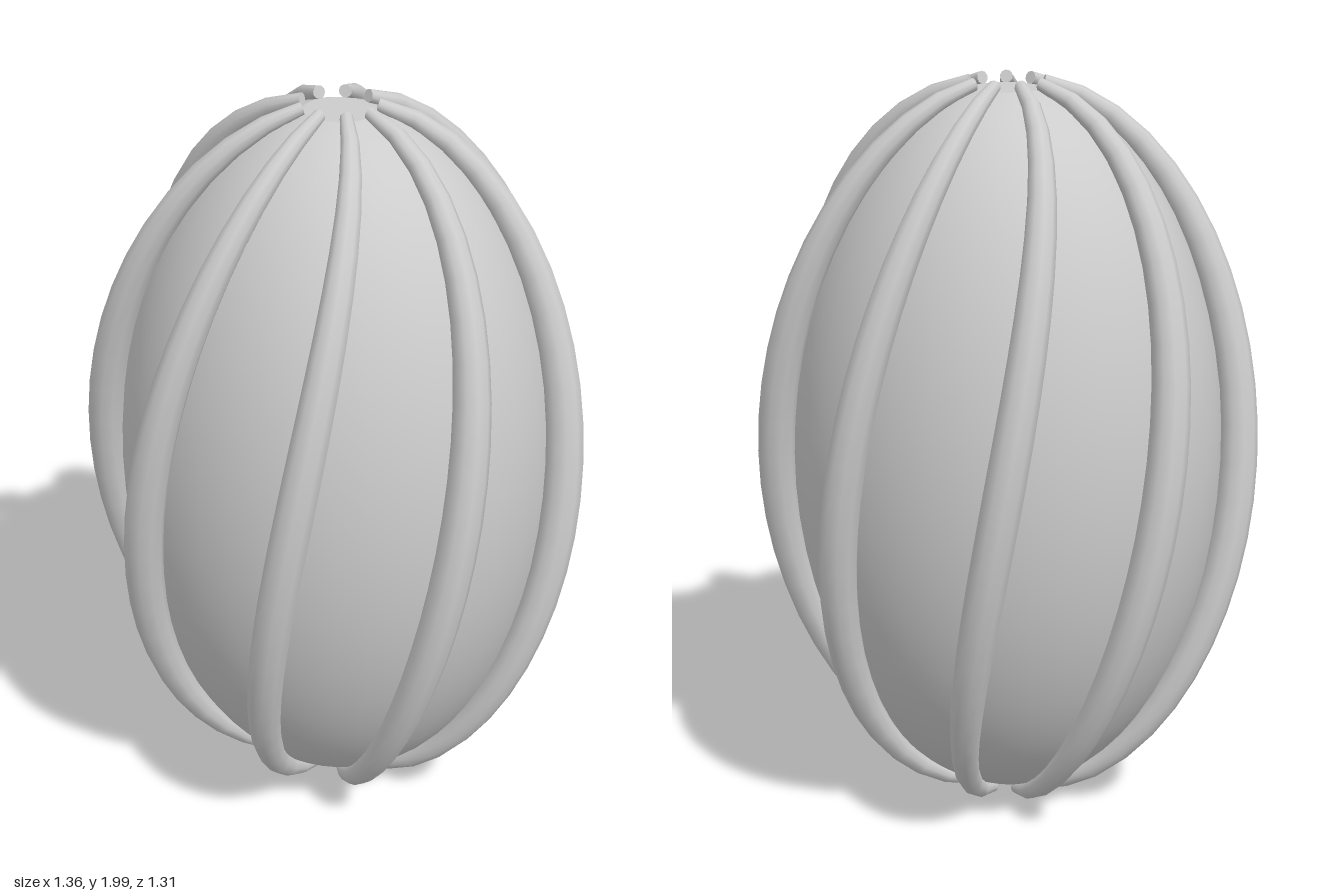
import * as THREE from 'three';

const RIBS = 9, RINGS = 24, SIDES = 10;
const rad = THREE.MathUtils.degToRad;

// Path hugging an ellipsoid from the top pole to the bottom one while twisting
class RibCurve extends THREE.Curve {
  constructor(start) {
    super();
    this.start = start;
  }
  getPoint(t, target = new THREE.Vector3()) {
    const polar = rad(9 + 162 * t);
    const turn = this.start + rad(46) * t;
    return target.set(
      0.64 * Math.sin(polar) * Math.cos(turn),
      1 + 0.99 * Math.cos(polar),
      0.615 * Math.sin(polar) * Math.sin(turn)
    );
  }
}

const ribRadius = (t) => 0.017 + 0.034 * Math.pow(Math.sin(Math.PI * t), 0.8);

// Flat disc facing along a direction
function disc(name, radius, center, direction, sides, material) {
  const mesh = new THREE.Mesh(new THREE.CircleGeometry(radius, sides), material);
  mesh.name = name;
  mesh.position.copy(center);
  mesh.quaternion.setFromUnitVectors(new THREE.Vector3(0, 0, 1), direction);
  return mesh;
}

// Tube whose thickness tapers toward both ends, closed by discs
function makeRib(start, material) {
  const rib = new THREE.Group();
  rib.name = 'rib';
  const curve = new RibCurve(start);
  const geometry = new THREE.TubeGeometry(curve, RINGS, 1, SIDES, false);
  const pos = geometry.attributes.position, nor = geometry.attributes.normal;
  const p = new THREE.Vector3(), n = new THREE.Vector3();
  for (let i = 0; i <= RINGS; i++) {
    const t = i / RINGS;
    curve.getPointAt(t, p);
    for (let j = 0; j <= SIDES; j++) {
      const k = i * (SIDES + 1) + j;
      n.fromBufferAttribute(nor, k).multiplyScalar(ribRadius(t)).add(p);
      pos.setXYZ(k, n.x, n.y, n.z);
    }
  }
  const tube = new THREE.Mesh(geometry, material);
  tube.name = 'ribTube';
  rib.add(tube);
  for (const t of [0, 1]) {
    const direction = curve.getTangentAt(t).multiplyScalar(t ? 1 : -1);
    rib.add(disc('ribEnd', ribRadius(t), curve.getPointAt(t), direction, SIDES, material));
  }
  return rib;
}

export function createModel() {
  const model = new THREE.Group();
  model.name = 'ribbedEgg';
  const grey = new THREE.MeshStandardMaterial({ color: 0xcccccc });
  grey.name = 'light grey';

  // Smooth egg-shaped core with small flat poles
  const body = new THREE.Group();
  body.name = 'body';
  body.position.set(0.012, 0, -0.005);
  model.add(body);
  const profile = [];
  for (let i = 0; i <= 28; i++) {
    const a = rad(171 - (162 * i) / 28);
    profile.push(new THREE.Vector2(0.6 * Math.sin(a), 1 + 0.975 * Math.cos(a)));
  }
  const core = new THREE.Mesh(new THREE.LatheGeometry(profile, 40), grey);
  core.name = 'core';
  core.scale.z = 0.95;
  body.add(core);
  for (const s of [-1, 1]) {
    const center = new THREE.Vector3(0, 1 + s * 0.975 * Math.cos(rad(9)), 0);
    const cap = disc('corePole', 0.6 * Math.sin(rad(9)), center, new THREE.Vector3(0, s, 0), 40, grey);
    cap.scale.y = 0.95;
    body.add(cap);
  }

  // Twisted ribs around the core
  for (let i = 0; i < RIBS; i++) {
    body.add(makeRib(rad(-7) + (i * Math.PI * 2) / RIBS, grey));
  }
  return model;
}
